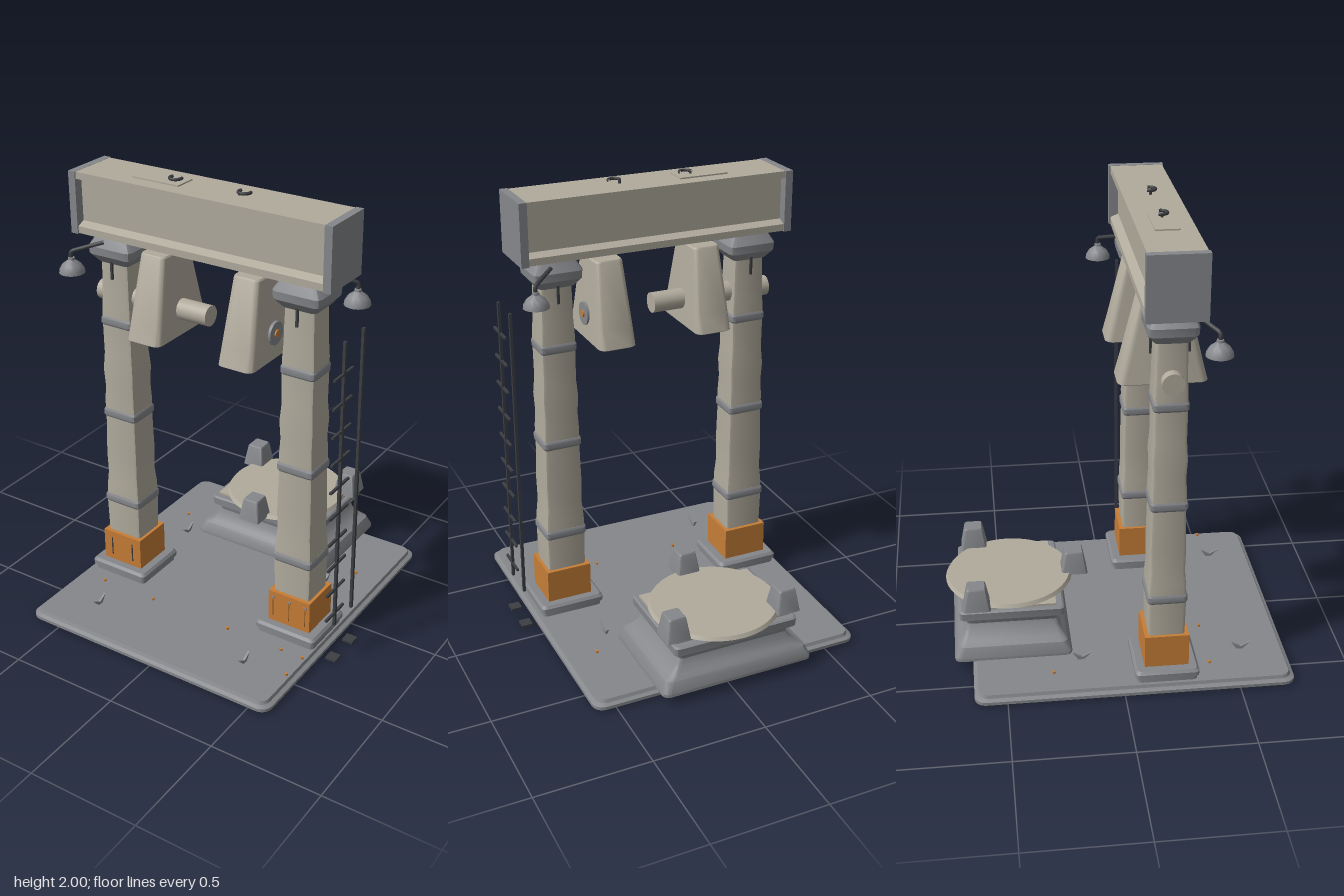
import * as THREE from 'three';
import { toCreasedNormals } from 'three/addons/utils/BufferGeometryUtils.js';

const mat = (name, color) => {
  const m = new THREE.MeshStandardMaterial({ color });
  m.name = name;
  return m;
};

// Rounded rectangle cross-sections [y, halfX, halfZ, cornerRadius] joined upwards and capped
function loft(rings, seg = 3) {
  const pos = [], idx = [], n = 4 * (seg + 1);
  for (const [y, hx, hz, r] of rings) {
    for (let c = 0; c < 4; c++) {
      const sx = c === 0 || c === 3 ? 1 : -1, sz = c < 2 ? 1 : -1;
      for (let k = 0; k <= seg; k++) {
        const a = (c + k / seg) * Math.PI / 2;
        pos.push(sx * (hx - r) + r * Math.cos(a), y, sz * (hz - r) + r * Math.sin(a));
      }
    }
  }
  const last = rings.length - 1, bottom = rings.length * n, top = bottom + 1;
  pos.push(0, rings[0][0], 0, 0, rings[last][0], 0);
  for (let j = 0; j < n; j++) {
    const k = (j + 1) % n;
    for (let i = 0; i < last; i++) {
      const a = i * n + j, b = i * n + k;
      idx.push(a, a + n, b + n, a, b + n, b);
    }
    idx.push(bottom, j, k, top, last * n + k, last * n + j);
  }
  const g = new THREE.BufferGeometry();
  g.setAttribute('position', new THREE.Float32BufferAttribute(pos, 3));
  g.setIndex(idx);
  return toCreasedNormals(g, 0.5);
}

export function createModel() {
  const model = new THREE.Group();
  model.name = 'gantry';
  const grey = mat('steel grey', 0x85878b);
  const tan = mat('warm stone', 0xb1ab9d);
  const orange = mat('orange', 0xc67d37);
  const dark = mat('dark metal', 0x3d3f43);

  const add = (name, geo, material, x = 0, y = 0, z = 0, parent = model) => {
    const m = new THREE.Mesh(geo, material);
    m.name = name;
    m.position.set(x, y, z);
    parent.add(m);
    return m;
  };
  const box = (w, h, d) => new THREE.BoxGeometry(w, h, d);
  const Z = 0.185; // depth of the portal frame

  // Ground slab with bevelled rim
  add('baseSlab', loft([[0.005, 0.61, 0.68, 0.05], [0.012, 0.622, 0.69, 0.05], [0.026, 0.622, 0.69, 0.05],
    [0.034, 0.605, 0.675, 0.045], [0.048, 0.6, 0.668, 0.04]], 5), grey, -0.028, 0, 0.05);

  // Small bolts on the slab
  for (const [x, z] of [[-0.505, -0.295], [0.45, -0.295], [-0.505, 0.385], [0.45, 0.385],
    [-0.23, 0.385], [0.175, 0.385], [0.555, 0.385], [0.555, 0.515]]) {
    add('slabBolt', new THREE.CylinderGeometry(0.007, 0.007, 0.012, 8), orange, x, 0.052, z);
  }

  // Notched cleats on the slab
  const cleat = new THREE.Shape();
  [[-0.012, 0], [-0.05, 0.038], [-0.005, 0.014], [0.035, 0.036], [0.01, 0]]
    .forEach(([x, y], i) => (i ? cleat.lineTo(x, y) : cleat.moveTo(x, y)));
  const cleatGeo = new THREE.ExtrudeGeometry(cleat, { depth: 0.01, bevelEnabled: false });
  cleatGeo.translate(0, 0, -0.005).rotateY(Math.PI / 2);
  for (const x of [-0.415, 0.36]) for (const z of [-0.17, 0.535]) add('cleat', cleatGeo, grey, x, 0.046, z);

  // Rear pedestal with concave waist, round table and three blocks
  const pedestal = new THREE.Group();
  pedestal.name = 'pedestal';
  pedestal.position.set(-0.03, 0, -0.46);
  model.add(pedestal);
  add('pedestalBody', loft([[0.046, 0.35, 0.258, 0.03], [0.06, 0.35, 0.258, 0.03], [0.105, 0.33, 0.24, 0.03],
    [0.12, 0.3, 0.225, 0.025], [0.15, 0.27, 0.208, 0.02], [0.18, 0.256, 0.2, 0.02], [0.2, 0.262, 0.205, 0.02],
    [0.215, 0.285, 0.228, 0.02], [0.25, 0.287, 0.23, 0.02], [0.256, 0.28, 0.222, 0.02]]), grey, 0, 0, 0, pedestal);
  add('pedestalTopPlate', box(0.53, 0.012, 0.39), tan, 0, 0.26, 0, pedestal);
  add('roundTable', new THREE.CylinderGeometry(0.275, 0.285, 0.016, 64), tan, 0, 0.275, 0, pedestal);
  for (const [x, z] of [[-0.255, -0.152], [0.26, -0.152], [0, 0.295]]) {
    add('tableBlock', loft([[0.272, 0.055, 0.06, 0.012], [0.285, 0.053, 0.057, 0.012],
      [0.37, 0.039, 0.041, 0.008], [0.376, 0.035, 0.037, 0.008]]), grey, x, 0, z, pedestal);
  }

  // Two columns, each with foot, orange collar, shaft, bands and capital
  const shaft = [[0.24, 0.088], [0.4, 0.091], [0.49, 0.089], [0.56, 0.083], [0.66, 0.085], [0.84, 0.081],
    [0.92, 0.082], [1.0, 0.078], [1.08, 0.082], [1.16, 0.076], [1.28, 0.077], [1.36, 0.077],
    [1.43, 0.073], [1.5, 0.072], [1.61, 0.069]].map(([y, h]) => [y, h, h * 0.88, 0.014]);
  for (const [side, x] of [['right', -0.475], ['left', 0.425]]) {
    const col = new THREE.Group();
    col.name = side + 'Column';
    col.position.set(x, 0, Z);
    model.add(col);
    add('foot', loft([[0.046, 0.14, 0.13, 0.02], [0.066, 0.14, 0.13, 0.02], [0.07, 0.148, 0.138, 0.02],
      [0.09, 0.148, 0.138, 0.02], [0.102, 0.138, 0.128, 0.02]]), grey, 0, 0, 0, col);
    add('collar', box(0.205, 0.152, 0.19), orange, 0, 0.176, 0, col);
    for (const fx of [-0.057, 0.057]) {
      if (side === 'right') add('collarSlit', box(0.005, 0.09, 0.006), dark, fx, 0.175, 0.095, col);
    }
    if (side === 'left') for (const fx of [-0.08, 0, 0.08]) {
      add('collarFin', box(0.004, 0.09, 0.008), orange, fx, 0.175, 0.098, col);
      add('collarRivet', box(0.014, 0.014, 0.008), grey, fx, 0.222, 0.096, col);
    }
    add('shaft', loft(shaft, 2), tan, 0, 0, 0, col);
    for (const [y, h] of [[0.43, 0.095], [0.87, 0.087], [1.315, 0.081]]) {
      add('band', loft([[y - 0.02, h - 0.004, h * 0.9 - 0.004, 0.016], [y - 0.012, h, h * 0.9, 0.016],
        [y + 0.012, h, h * 0.9, 0.016], [y + 0.02, h - 0.004, h * 0.9 - 0.004, 0.016]], 2), grey, 0, 0, 0, col);
    }
    add('capital', loft([[1.588, 0.078, 0.072, 0.02], [1.625, 0.108, 0.1, 0.025], [1.66, 0.11, 0.102, 0.025],
      [1.695, 0.09, 0.085, 0.025], [1.712, 0.078, 0.075, 0.02]], 2), grey, 0, 0, 0, col);
    for (const s of [-1, 1]) add('capitalPin', box(0.01, 0.08, 0.01), dark, 0, 1.56, s * 0.077, col);
  }

  // Cross beam with recessed web and end plates
  const half = [[0.115, 1.712], [0.115, 1.742], [0.08, 1.758], [0.08, 1.94], [0.115, 1.946], [0.115, 1.976]];
  const web = new THREE.Shape([...half, ...half.map(([z, y]) => [-z, y]).reverse()]
    .map(([z, y]) => new THREE.Vector2(z, y)));
  const beam = new THREE.ExtrudeGeometry(web, { depth: 1.18, bevelEnabled: false });
  beam.translate(0, 0, -0.59).rotateY(Math.PI / 2);
  add('beam', beam, tan, -0.024, 0, Z);
  for (const x of [-0.627, 0.576]) add('beamEndPlate', box(0.034, 0.268, 0.242), grey, x, 1.843, Z);

  // Hatch and lifting hooks on the beam
  add('hatch', box(0.222, 0.006, 0.1), tan, -0.256, 1.979, Z);
  for (const x of [-0.19, 0.135]) {
    const hook = add('liftingHook', new THREE.TorusGeometry(0.025, 0.007, 8, 16, Math.PI * 1.25), dark, x, 1.993, Z);
    hook.rotation.set(Math.PI / 2, 0, -0.3);
    add('hookStem', new THREE.CylinderGeometry(0.006, 0.006, 0.02, 8), dark, x - 0.024, 1.984, Z);
  }

  // Hanging tapered weights
  for (const x of [-0.25, 0.2]) {
    add('hangingWeight', loft([[1.315, 0.078, 0.178, 0.03], [1.32, 0.084, 0.186, 0.032],
      [1.4, 0.08, 0.165, 0.03], [1.675, 0.062, 0.1, 0.025], [1.682, 0.057, 0.095, 0.022]], 5), tan, x, 0, Z);
    add('weightPin', box(0.008, 0.04, 0.008), dark, x, 1.695, Z);
  }
  const axle = new THREE.CylinderGeometry(0.045, 0.045, 0.56, 24).rotateZ(Math.PI / 2);
  add('axle', axle, tan, -0.309, 1.43, Z);
  const hub = (r, w) => new THREE.CylinderGeometry(r, r, w, 24).rotateZ(Math.PI / 2);
  add('hubDisc', hub(0.05, 0.02), grey, 0.278, 1.43, Z);
  add('hubCentre', hub(0.016, 0.008), orange, 0.29, 1.43, Z);

  // Lamps on bent arms
  const bell = new THREE.LatheGeometry([[0, 1.562], [0.05, 1.562], [0.055, 1.556], [0.053, 1.57], [0.04, 1.592],
    [0.024, 1.604], [0.015, 1.612], [0.014, 1.622], [0, 1.626]].map(p => new THREE.Vector2(...p)), 24);
  for (const [x, z, ax, az] of [[-0.612, 0.355, -0.5, 0.275], [0.555, 0.012, 0.46, 0.09]]) {
    add('lampShade', toCreasedNormals(bell, 0.6), grey, x, 0, z);
    const path = new THREE.CatmullRomCurve3([[ax, 1.685, az], [x + (ax - x) * 0.3, 1.66, z + (az - z) * 0.3],
      [x, 1.645, z], [x, 1.612, z]].map(p => new THREE.Vector3(...p)));
    add('lampArm', new THREE.TubeGeometry(path, 16, 0.009, 8), dark, 0, 0, 0);
  }

  // Ladder with floor pads
  const ladder = new THREE.Group();
  ladder.name = 'ladder';
  ladder.position.x = 0.637;
  model.add(ladder);
  for (const z of [0.108, 0.258]) {
    add('ladderRail', box(0.012, 1.33, 0.014), dark, 0, 0.845, z, ladder);
    add('ladderPad', box(0.05, 0.01, 0.05), dark, 0, 0.007, z, ladder);
  }
  for (let i = 0; i < 10; i++) add('ladderRung', box(0.01, 0.01, 0.15), dark, 0, 0.244 + i * 0.1253, 0.26, ladder);

  return model;
}
